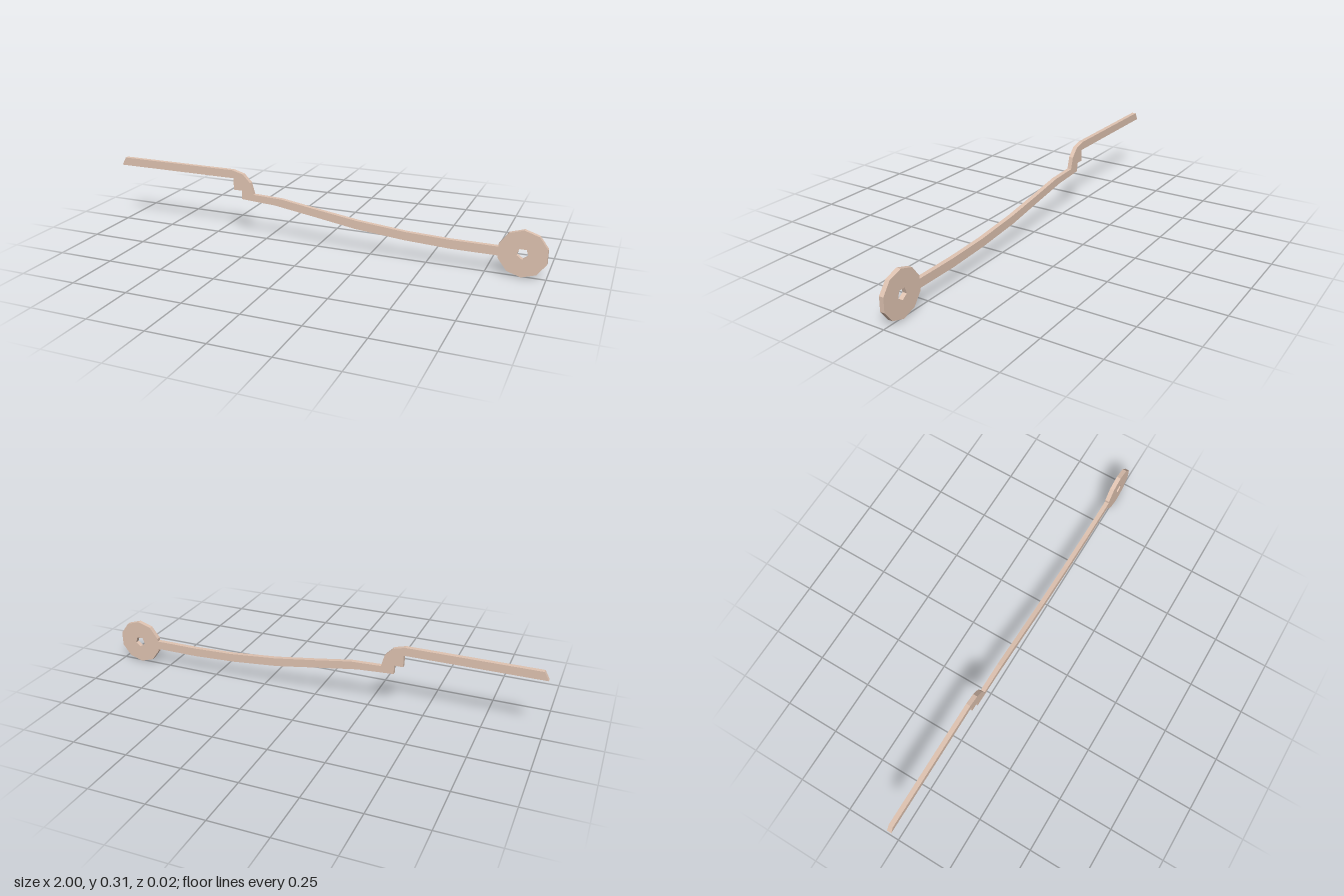
import * as THREE from 'three';

const THICKNESS = 0.02;
const EYE = { x: 0.901, y: 0.1015 };

// Points of a regular polygon around the eye centre, angles in degrees
function eyePoints(count, rx, ry, start, step) {
  return Array.from({ length: count }, (_, i) => {
    const a = THREE.MathUtils.degToRad(start + i * step);
    return new THREE.Vector2(EYE.x + rx * Math.cos(a), EYE.y + ry * Math.sin(a));
  });
}

export function createModel() {
  const group = new THREE.Group();
  group.name = 'lever';
  const toPoints = (list) => list.map(([x, y]) => new THREE.Vector2(x, y));

  // Underside, from the slanted tip past the stepped catch to the eye
  const underside = toPoints([
    [-1, 0.272], [-0.405, 0.272], [-0.405, 0.218], [-0.365, 0.218], [-0.365, 0.178],
    [-0.2, 0.168], [0, 0.138], [0.18, 0.11], [0.4, 0.09], [0.6, 0.081], [0.802, 0.081],
  ]);
  // Ten-sided eye, counter-clockwise from lower left to upper left
  const eye = eyePoints(10, 0.104, 0.1015, 198, 36);
  // Upper side, back over the rounded shoulder to the tip
  const upperSide = toPoints([
    [0.802, 0.12], [0.6, 0.12], [0.41, 0.127], [0.19, 0.147], [0, 0.174], [-0.17, 0.2],
    [-0.307, 0.205], [-0.322, 0.258], [-0.358, 0.295], [-0.41, 0.309], [-0.98, 0.309],
  ]);

  const shape = new THREE.Shape([...underside, ...eye, ...upperSide]);
  // Five-sided pivot hole
  shape.holes.push(new THREE.Path(eyePoints(5, 0.025, 0.025, -90, -72)));

  const geometry = new THREE.ExtrudeGeometry(shape, { depth: THICKNESS, bevelEnabled: false });
  geometry.translate(0, 0, -THICKNESS / 2);

  const material = new THREE.MeshStandardMaterial({ color: 0xdfc3b1 });
  const arm = new THREE.Mesh(geometry, material);
  arm.name = 'leverArm';
  group.add(arm);
  return group;
}
